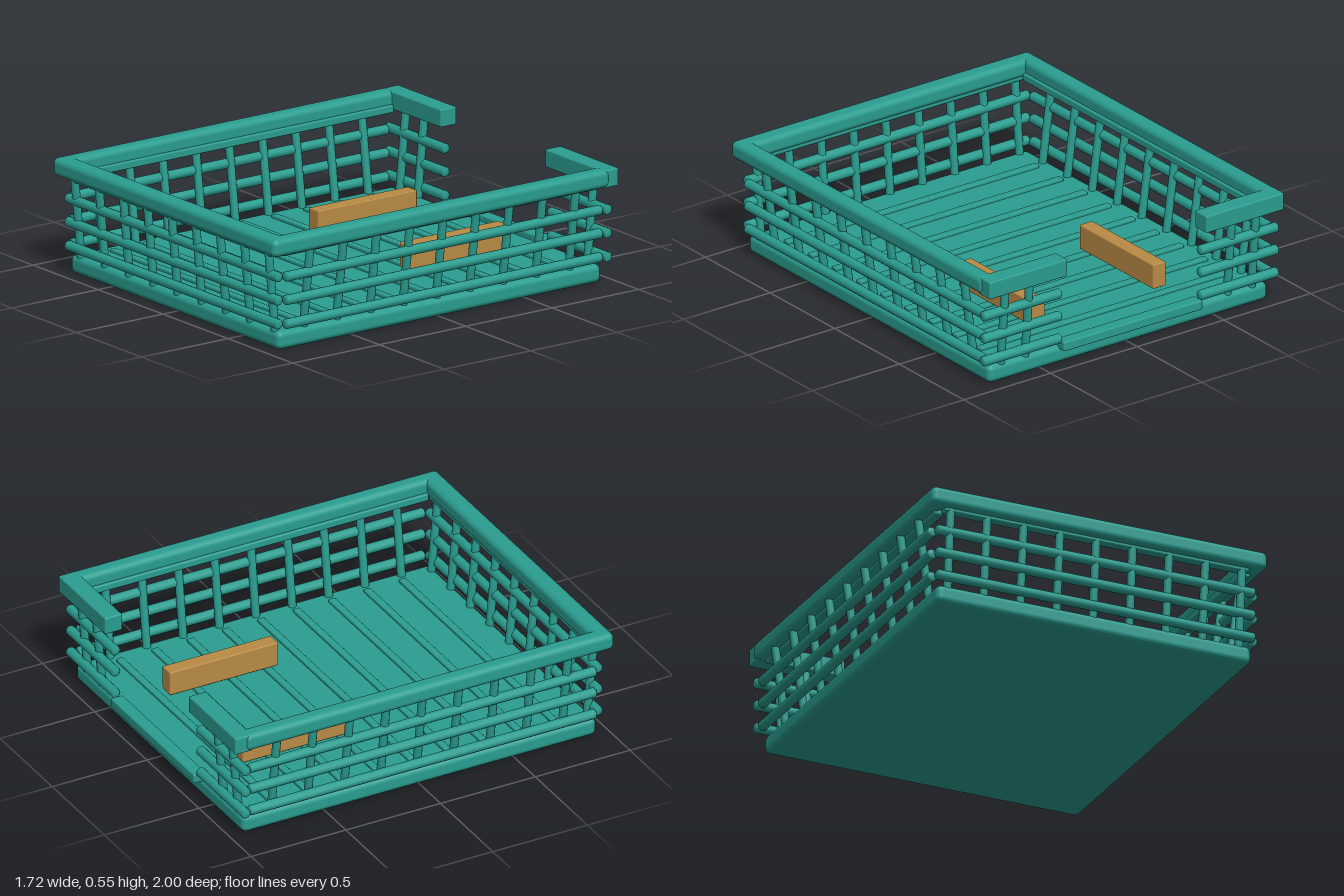
import * as THREE from 'three';
import { RoundedBoxGeometry } from 'three/addons/geometries/RoundedBoxGeometry.js';

export function createModel() {
  const model = new THREE.Group();
  const teal = new THREE.MeshStandardMaterial({ color: 0x2a9d8f });
  const wood = new THREE.MeshStandardMaterial({ color: 0xb98b45 });

  // Box with softened edges, given by its extents on each axis
  const block = (name, [x0, x1], [y0, y1], [z0, z1], bevel, material = teal) => {
    const geometry = new RoundedBoxGeometry(x1 - x0, y1 - y0, z1 - z0, 3, bevel);
    const mesh = new THREE.Mesh(geometry, material);
    mesh.name = name;
    mesh.position.set((x0 + x1) / 2, (y0 + y1) / 2, (z0 + z1) / 2);
    model.add(mesh);
  };

  // Round bar between two points
  const up = new THREE.Vector3(0, 1, 0);
  const bar = (name, from, to, radius) => {
    const a = new THREE.Vector3(...from), b = new THREE.Vector3(...to);
    const dir = b.clone().sub(a);
    const length = dir.length();
    const bevel = 0.007;
    const profile = [[0, 0], [radius - bevel, 0], [radius, bevel],
      [radius, length - bevel], [radius - bevel, length], [0, length]];
    const geometry = new THREE.LatheGeometry(profile.map(p => new THREE.Vector2(...p)), 12);
    const mesh = new THREE.Mesh(geometry, teal);
    mesh.name = name;
    mesh.position.copy(a);
    mesh.quaternion.setFromUnitVectors(up, dir.normalize());
    model.add(mesh);
  };

  // Floor tray with raised slats
  block('base', [-0.805, 0.805], [0, 0.088], [-0.935, 0.935], 0.028);
  for (let i = -4; i <= 4; i++) {
    const z = i * 0.1865;
    block('floorSlat', [-0.725, 0.725], [0.075, 0.102], [z - 0.018, z + 0.018], 0.005);
  }
  block('backSill', [-0.4, 0.4], [0.07, 0.118], [-0.972, -0.908], 0.008);

  // Top rim, open at the back
  block('frontRim', [-0.857, 0.857], [0.467, 0.554], [0.905, 1], 0.028);
  block('frontRimLiner', [-0.78, 0.78], [0.452, 0.49], [0.915, 0.965], 0.008);
  for (const s of [-1, 1]) {
    const span = (a, b) => (s > 0 ? [a, b] : [-b, -a]);
    block('sideRim', span(0.775, 0.859), [0.467, 0.554], [-0.945, 1], 0.028);
    block('sideRimLiner', span(0.762, 0.81), [0.452, 0.49], [-0.91, 0.91], 0.008);
    block('backRim', span(0.4, 0.849), [0.465, 0.552], [-1, -0.908], 0.008);
    block('woodRunner', span(0.312, 0.386), [0.1, 0.222], [-0.706, -0.133], 0.006, wood);
  }

  // Horizontal rails in three rows
  for (const y of [0.13, 0.245, 0.358]) {
    bar('frontRail', [-0.815, y, 0.938], [0.815, y, 0.938], 0.024);
    for (const s of [-1, 1]) {
      bar('sideRail', [s * 0.822, y, -0.915], [s * 0.822, y, 0.915], 0.024);
      bar('backRail', [s * 0.4, y, -0.94], [s * 0.85, y, -0.94], 0.024);
    }
  }

  // Upright posts leaning outwards
  const low = 0.075, high = 0.48;
  for (let i = -4; i <= 4; i++) {
    const x = i * 0.1865, z = i * 0.192;
    bar('frontPost', [x, low, 0.912], [x, high, 0.95], 0.02);
    for (const s of [-1, 1]) {
      bar('sidePost', [s * 0.77, low, z], [s * 0.826, high, z], 0.02);
    }
  }
  for (const x of [-0.723, -0.583, 0.583, 0.723]) {
    bar('backPost', [x, low, -0.912], [x, high, -0.95], 0.02);
  }
  return model;
}
